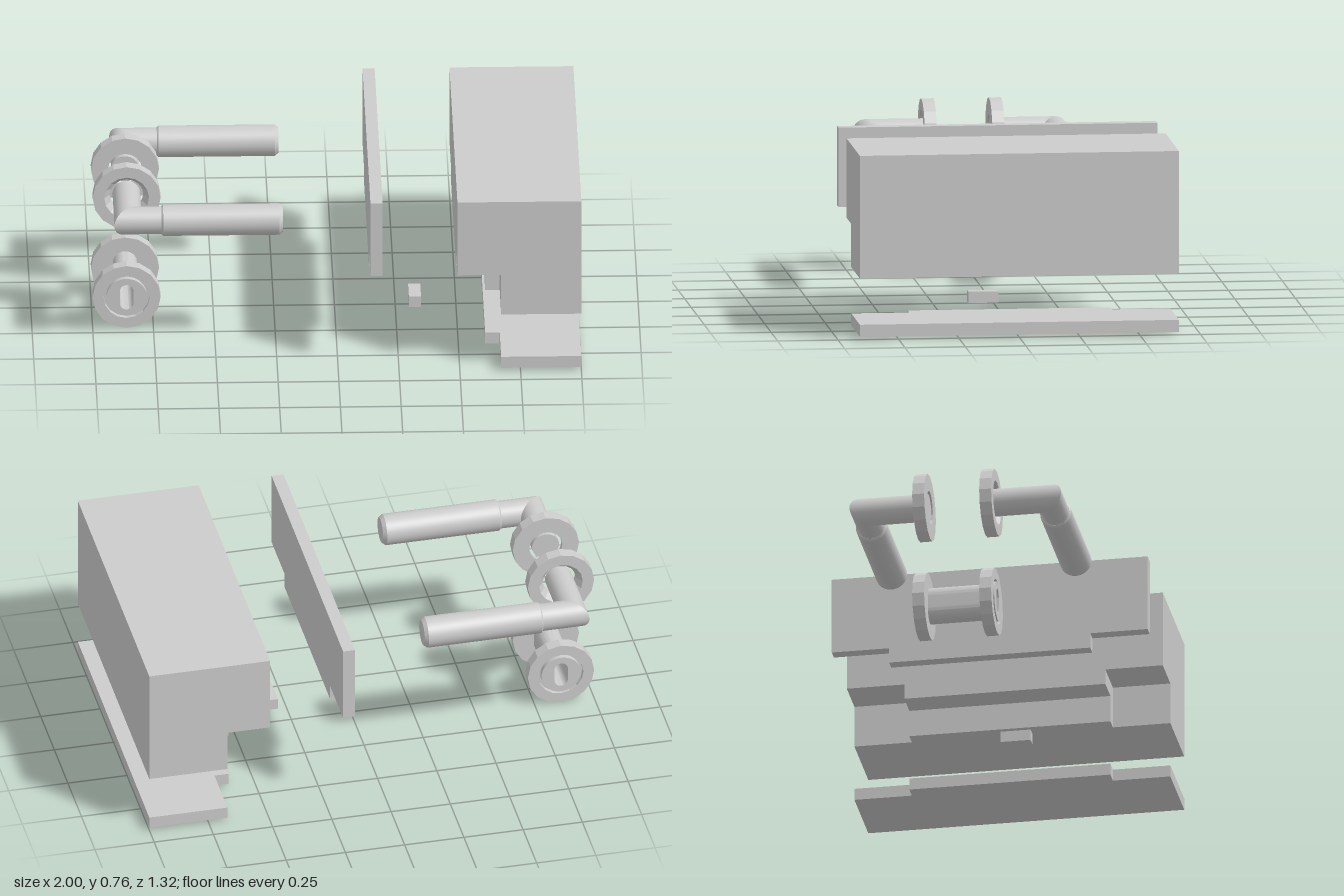
import * as THREE from 'three';
import { toCreasedNormals } from 'three/addons/utils/BufferGeometryUtils.js';

const grey = new THREE.MeshStandardMaterial({ color: 0xcccccc });
const AXIS_X = -0.86, MID_Z = 0.04; // handle axis and middle plane of the door furniture

function add(parent, name, geometry, x = 0, y = 0, z = 0) {
  const mesh = new THREE.Mesh(geometry, grey);
  mesh.name = name;
  mesh.position.set(x, y, z);
  parent.add(mesh);
  return mesh;
}

// Turned part along +z from [radius, z] points
function turned(points, sides, crease) {
  const g = new THREE.LatheGeometry(points.map(p => new THREE.Vector2(...p)), sides);
  return toCreasedNormals(g.rotateX(Math.PI / 2), crease);
}

function polygon(points) {
  return new THREE.Shape(points.map(p => new THREE.Vector2(...p)));
}

function extrude(shape, from, to) {
  const g = new THREE.ExtrudeGeometry(shape, { depth: to - from, bevelEnabled: false, curveSegments: 24 });
  return toCreasedNormals(g.translate(0, 0, from), 0.5);
}

// Upright slot outline: half width r, half height r + s
function slot(Type, r, s) {
  const p = new Type();
  p.absarc(0, s, r, 0, Math.PI, false);
  p.absarc(0, -s, r, Math.PI, Math.PI * 2, false);
  p.closePath();
  return p;
}

// Cross-section points joined along z, for one side of the lever
function leverSide() {
  const side = new THREE.Group();
  const r = 0.057, zc = 0.385, start = 0.12;

  add(side, 'rosette', turned([[0.14, 0.115], [0.14, 0.165], [0.092, 0.165],
    [0.07, 0.135], [0.07, 0.115], [0.14, 0.115]], 16, 0.3));

  // Neck and arm meet in a mitre: the end ring is sheared by 45 degrees
  const neck = new THREE.CylinderGeometry(r, r, zc - start, 32).rotateX(Math.PI / 2);
  neck.translate(0, 0, (zc + start) / 2);
  const arm = new THREE.CylinderGeometry(r, r, 0.14, 32).rotateZ(-Math.PI / 2);
  arm.translate(0.07, 0, zc);
  const n = neck.attributes.position, a = arm.attributes.position;
  for (let i = 0; i < n.count; i++) if (n.getZ(i) > zc - 0.01) n.setZ(i, zc - n.getX(i));
  for (let i = 0; i < a.count; i++) if (a.getX(i) < 0.01) a.setX(i, zc - a.getZ(i));
  add(side, 'neck', neck);
  add(side, 'arm', arm);

  // Thicker grip with chamfered ends
  const grip = turned([[0, 0], [0.058, 0], [0.065, 0.007], [0.065, 0.485], [0.053, 0.5], [0, 0.5]], 32, 0.5);
  add(side, 'grip', grip.rotateY(Math.PI / 2), 0.137, 0, zc);
  return side;
}

function escutcheonSide() {
  const side = new THREE.Group();
  add(side, 'escutcheonRing', turned([[0.14, 0.115], [0.14, 0.165], [0.095, 0.165],
    [0.095, 0.145], [0.08, 0.145], [0.08, 0.115], [0.14, 0.115]], 16, 0.3));
  const disc = new THREE.Shape();
  disc.absarc(0, 0, 0.083, 0, Math.PI * 2, false);
  disc.holes.push(slot(THREE.Path, 0.028, 0.027));
  add(side, 'escutcheonDisc', extrude(disc, 0.115, 0.168));
  return side;
}

export function createModel() {
  const model = new THREE.Group();

  // Front and back halves: a half turn about x mirrors these parts
  [['Front', 0], ['Back', Math.PI]].forEach(([label, turn]) => {
    [['lever', leverSide, 0.595], ['escutcheon', escutcheonSide, 0.146]].forEach(([name, make, y]) => {
      const side = make();
      side.name = name + label;
      side.position.set(AXIS_X, y, MID_Z);
      side.rotation.x = turn;
      model.add(side);
    });
  });

  // Hollow keyhole tube between the escutcheons
  const tube = slot(THREE.Shape, 0.05, 0.027);
  tube.holes.push(slot(THREE.Path, 0.028, 0.027));
  add(model, 'keyholeTube', extrude(tube, -0.115, 0.115), AXIS_X, 0.146, MID_Z);

  // Large block: corner rebate deeper at both ends than in the middle
  const E = 0.66, T = 0.42;
  const block = (x, y) => polygon([[0.49, 0.77], [0.49, y], [x, y], [x, 0.26], [1, 0.26], [1, 0.77]]);
  add(model, 'blockBackEnd', extrude(block(0.67, 0.44), -E, -T));
  add(model, 'blockMiddle', extrude(block(0.61, 0.375), -T, T));
  add(model, 'blockFrontEnd', extrude(block(0.67, 0.44), T, E));

  // Upright plate with a tab on its lower edge (outline in z and y)
  const upright = polygon([[-E, 0.77], [-E, 0.44], [-T, 0.44], [-T, 0.375],
    [T, 0.375], [T, 0.44], [E, 0.44], [E, 0.77]]);
  add(model, 'uprightPlate', extrude(upright, 0, 0.05).rotateY(-Math.PI / 2), 0.182, 0, 0);

  // Lying plate with a tab on its inner edge (outline in x and z)
  const lying = polygon([[1, -E], [1, E], [0.67, E], [0.67, T], [0.61, T],
    [0.61, -T], [0.67, -T], [0.67, -E]]);
  add(model, 'lyingPlate', extrude(lying, 0, 0.05).rotateX(-Math.PI / 2), 0, 0.018, 0);

  // Small loose peg
  add(model, 'peg', new THREE.BoxGeometry(0.05, 0.047, 0.125), 0.328, 0.081, 0.078);

  return model;
}
